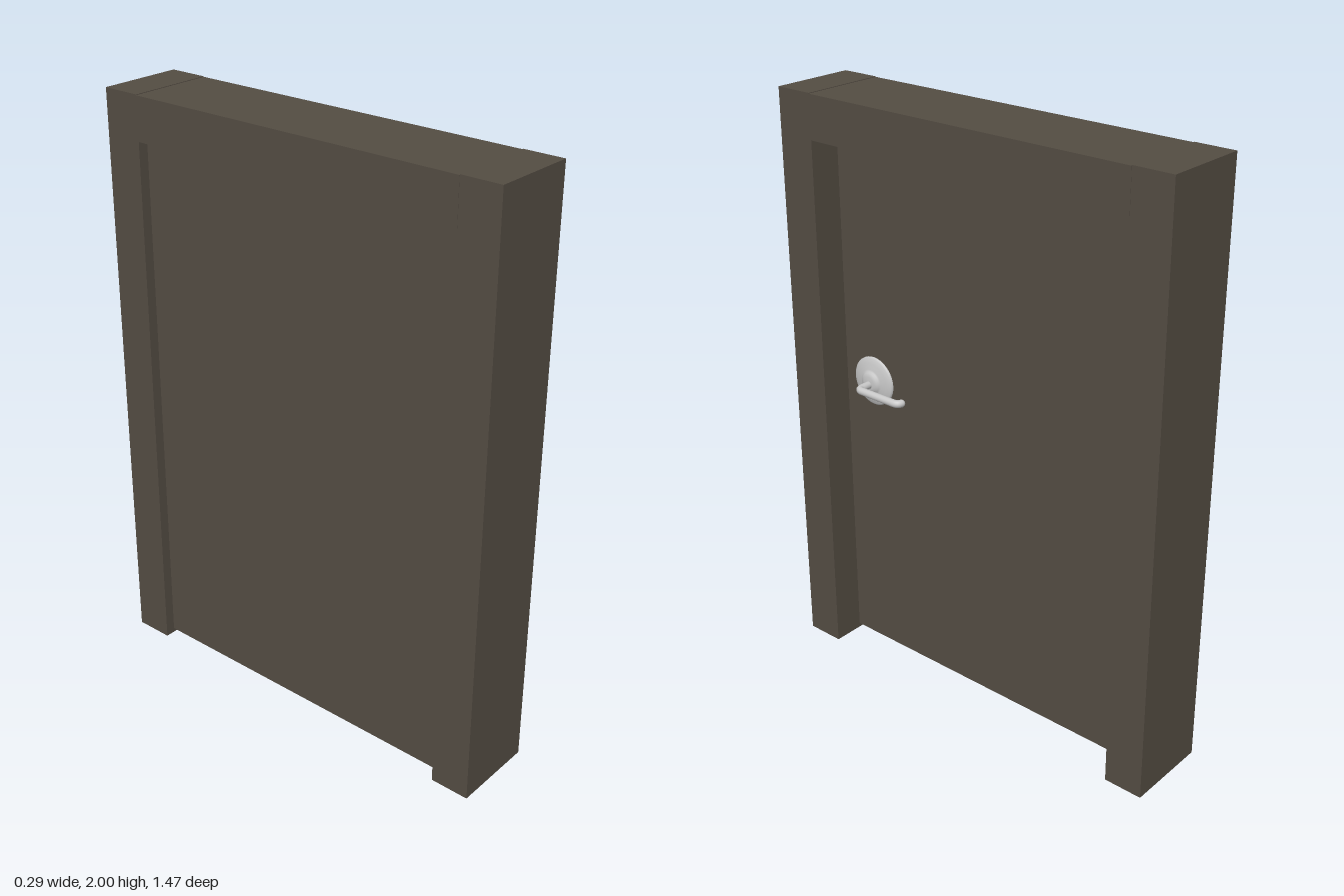
import * as THREE from 'three';

export function createModel() {
  const model = new THREE.Group();
  const wood = new THREE.MeshStandardMaterial({ color: 0x544d43 });
  wood.name = 'dark wood';
  const metal = new THREE.MeshStandardMaterial({ color: 0xc8c8c8 });
  metal.name = 'light metal';

  // Box given by its minimum and maximum corners
  function box(name, min, max) {
    const size = max.map((v, i) => v - min[i]);
    const mesh = new THREE.Mesh(new THREE.BoxGeometry(...size), wood);
    mesh.position.set(...max.map((v, i) => (v + min[i]) / 2));
    mesh.name = name;
    model.add(mesh);
  }

  // Frame: two posts with the head beam between them
  const outer = 0.737, inner = 0.602, half = 0.146;
  box('frontPost', [-half, 0, inner], [half, 2, outer]);
  box('backPost', [-half, 0, -outer], [half, 2, -inner]);
  box('headBeam', [-half - 0.001, 1.853, -inner], [half + 0.001, 1.998, inner]);

  // Door leaf, set deeper on the handle side
  const face = 0.036;
  box('doorLeaf', [-0.111, 0.015, -inner], [face, 1.853, inner]);

  // Handle, placed on the door face and pointing out along +x
  const handle = new THREE.Group();
  handle.name = 'handle';
  handle.position.set(face, 1.037, 0.474);
  model.add(handle);

  // Domed rosette with a raised collar
  const profile = [
    [0.085, 0], [0.085, 0.005], [0.08, 0.009], [0.065, 0.014],
    [0.045, 0.018], [0.038, 0.02], [0.034, 0.026], [0.022, 0.03], [0, 0.031],
  ].map(([r, h]) => new THREE.Vector2(r, h));
  const rosette = new THREE.Mesh(new THREE.LatheGeometry(profile, 40), metal);
  rosette.rotation.z = -Math.PI / 2;
  rosette.name = 'rosette';
  handle.add(rosette);

  // Lever: stem, bend, grip and a tip that curls back to the door
  const y = -0.006;
  const path = new THREE.CurvePath();
  const p = (x, z) => new THREE.Vector3(x, y, z);
  path.add(new THREE.LineCurve3(p(0.01, 0), p(0.06, 0)));
  path.add(new THREE.QuadraticBezierCurve3(p(0.06, 0), p(0.08, 0), p(0.08, -0.02)));
  path.add(new THREE.LineCurve3(p(0.08, -0.02), p(0.08, -0.16)));
  path.add(new THREE.QuadraticBezierCurve3(p(0.08, -0.16), p(0.08, -0.18), p(0.065, -0.182)));
  const lever = new THREE.Mesh(new THREE.TubeGeometry(path, 64, 0.013, 16), metal);
  lever.name = 'lever';
  handle.add(lever);

  // Rounded end of the lever
  const tip = new THREE.Mesh(new THREE.SphereGeometry(0.013, 16, 12), metal);
  tip.position.copy(p(0.065, -0.182));
  tip.name = 'leverTip';
  handle.add(tip);

  return model;
}
